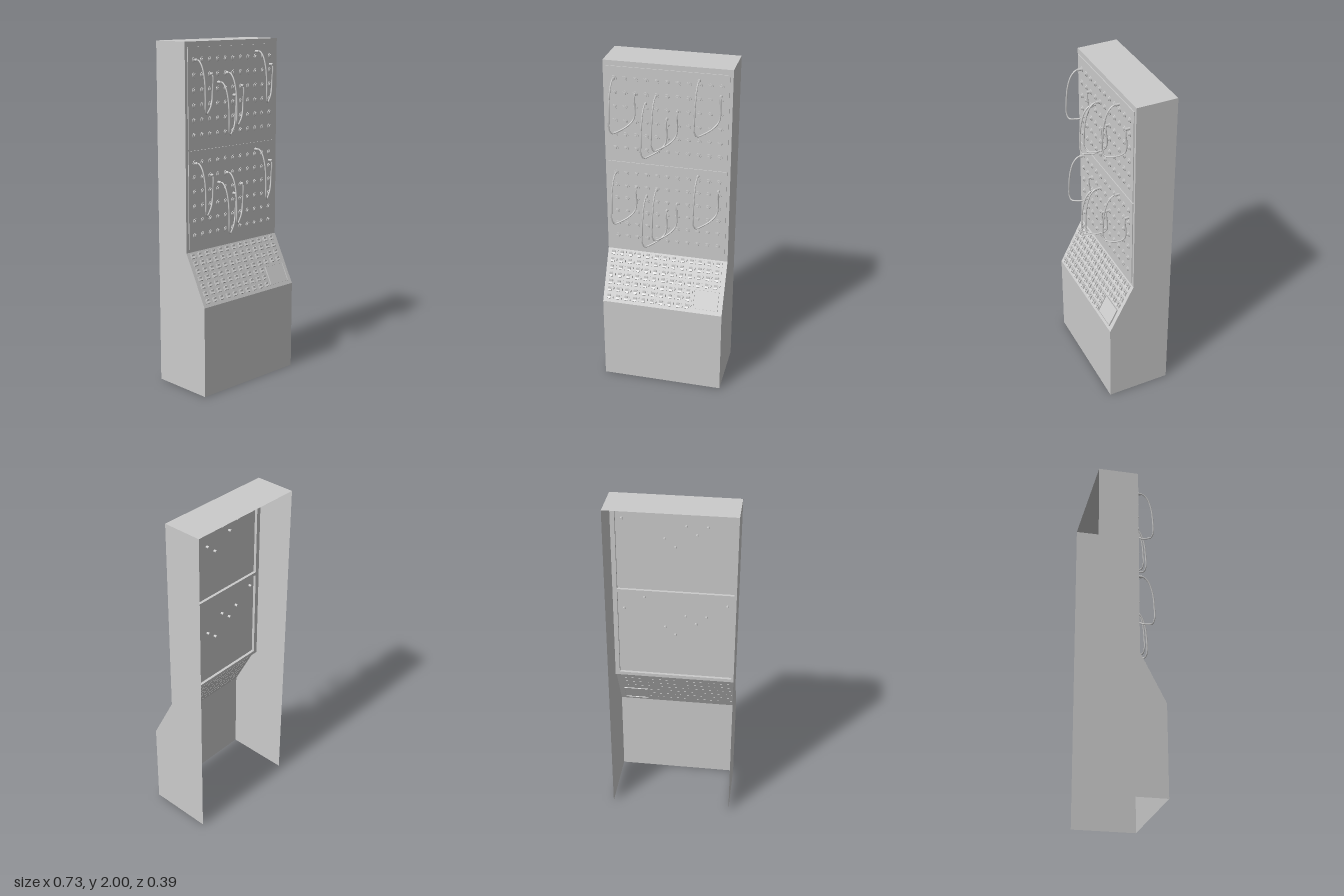
import * as THREE from 'three';

const grey = new THREE.MeshStandardMaterial({ color: 0xcccccc });
const sheet = new THREE.MeshStandardMaterial({ color: 0xcccccc, side: THREE.DoubleSide });
const W = 0.363, BACK = -0.193, FACE = 0.045, LOW = 0.193, KNEE = 0.53, SHELF = 0.82, TOP = 2;

function add(parent, name, geometry, x = 0, y = 0, z = 0, material = grey) {
  const mesh = new THREE.Mesh(geometry, material);
  mesh.name = name;
  mesh.position.set(x, y, z);
  parent.add(mesh);
  return mesh;
}
const box = (w, h, d) => new THREE.BoxGeometry(w, h, d);
const disc = (r, d, n = 12) => new THREE.CylinderGeometry(r, r, d, n).rotateX(Math.PI / 2);

// Sheet-metal housing, open at the back and underneath
function cabinet() {
  const g = new THREE.Group();
  g.name = 'cabinet';
  const side = new THREE.Shape([[BACK, 0], [LOW, 0], [LOW, KNEE], [FACE, SHELF], [FACE, TOP], [BACK, TOP]]
    .map(([z, y]) => new THREE.Vector2(-z, y)));
  for (const s of [-1, 1]) {
    add(g, s > 0 ? 'leftSide' : 'rightSide', new THREE.ShapeGeometry(side).rotateY(Math.PI / 2), s * W, 0, 0, sheet);
  }
  add(g, 'lowerFront', new THREE.PlaneGeometry(2 * W, KNEE), 0, KNEE / 2, LOW, sheet);
  add(g, 'roof', new THREE.PlaneGeometry(2 * W, FACE - BACK).rotateX(-Math.PI / 2), 0, TOP, (FACE + BACK) / 2, sheet);

  // Upper front frame with two openings
  const frame = new THREE.Shape([[-W, SHELF], [W, SHELF], [W, TOP], [-W, TOP]].map(p => new THREE.Vector2(...p)));
  for (const y of [0.84, 1.41]) {
    frame.holes.push(new THREE.Path([[-0.337, y], [-0.337, y + 0.55], [0.337, y + 0.55], [0.337, y]]
      .map(p => new THREE.Vector2(...p))));
  }
  add(g, 'frontFrame', new THREE.ExtrudeGeometry(frame, { depth: 0.018, bevelEnabled: false }), 0, 0, FACE - 0.018);
  return g;
}

// One patch cable: out of the left socket, down in a loop, back to the right socket
function cable(x, y) {
  const g = new THREE.Group();
  g.name = 'patchCable';
  const path = new THREE.CatmullRomCurve3([
    [0, 0, 0.06], [0, 0, 0.085], [-0.002, -0.03, 0.115], [-0.004, -0.10, 0.138], [-0.006, -0.2, 0.147],
    [-0.006, -0.265, 0.147], [0.008, -0.289, 0.14], [0.04, -0.281, 0.12], [0.085, -0.256, 0.092],
    [0.114, -0.222, 0.071], [0.122, -0.17, 0.067], [0.121, -0.115, 0.073], [0.12, -0.085, 0.07], [0.12, -0.08, 0.055],
  ].map(p => new THREE.Vector3(...p)));
  add(g, 'cord', new THREE.TubeGeometry(path, 56, 0.0045, 6));
  for (const [px, py] of [[0, 0], [0.12, -0.08]]) add(g, 'plug', disc(0.008, 0.05, 8), px, py, 0.051);
  g.position.set(x, y, 0);
  return g;
}

// Patch panel with an 11 by 6 socket grid and four cables
function patchPanel() {
  const g = new THREE.Group();
  g.name = 'patchPanel';
  add(g, 'panelPlate', box(0.69, 0.56, 0.006), 0, 1.69, 0.047);
  const flange = disc(0.016, 0.006), collar = disc(0.0095, 0.01);
  for (let c = 0; c < 11; c++) {
    for (let r = 0; r < 6; r++) {
      const x = -0.3 + c * 0.06, y = 1.9 - r * 0.083;
      add(g, 'socketFlange', flange, x, y, 0.052);
      add(g, 'socketCollar', collar, x, y, 0.056);
    }
  }
  for (const [x, y] of [[-0.3, 1.9], [-0.12, 1.77], [-0.06, 1.82], [0.18, 1.93]]) g.add(cable(x, y));
  return g;
}

// Sloping desk with rows of rocker keys and a framed window
function keyDesk() {
  const g = new THREE.Group();
  g.name = 'keyDesk';
  const rise = SHELF - KNEE, run = LOW - FACE, length = Math.hypot(rise, run);
  g.position.set(0, (SHELF + KNEE) / 2, (FACE + LOW) / 2);
  g.rotation.x = -Math.atan2(run, rise);
  add(g, 'deskPlate', new THREE.PlaneGeometry(2 * W, length), 0, 0, 0, sheet);

  const base = box(0.038, 0.028, 0.006), rocker = box(0.02, 0.011, 0.009), stud = box(0.011, 0.018, 0.007);
  for (let c = 0; c < 13; c++) {
    for (let r = 0; r < 7; r++) {
      if (c > 9 && r > 3) continue;
      const key = new THREE.Group();
      key.name = 'key';
      key.position.set(-0.321 + c * 0.0532, 0.138 - r * 0.0445, 0.002);
      add(key, 'keyBase', base);
      for (const s of [-1, 1]) add(key, 'rocker', rocker, -0.007, s * 0.007, 0.005).rotation.x = s * 0.35;
      add(key, 'stud', stud, 0.012, 0, 0.004);
      g.add(key);
    }
  }

  // Display window
  add(g, 'windowPlate', box(0.145, 0.108, 0.004), 0.26, -0.082, 0.002);
  for (const s of [-1, 1]) {
    add(g, 'windowRail', box(0.15, 0.004, 0.014), 0.26, -0.082 + s * 0.056, 0.002);
    add(g, 'windowPost', box(0.004, 0.112, 0.014), 0.26 + s * 0.073, -0.082, 0.002);
  }
  return g;
}

export function createModel() {
  const model = new THREE.Group();
  model.name = 'switchboard';
  model.add(cabinet(), keyDesk());
  for (const drop of [0, 0.57]) {
    const panel = patchPanel();
    panel.position.y = -drop;
    model.add(panel);
  }
  return model;
}
